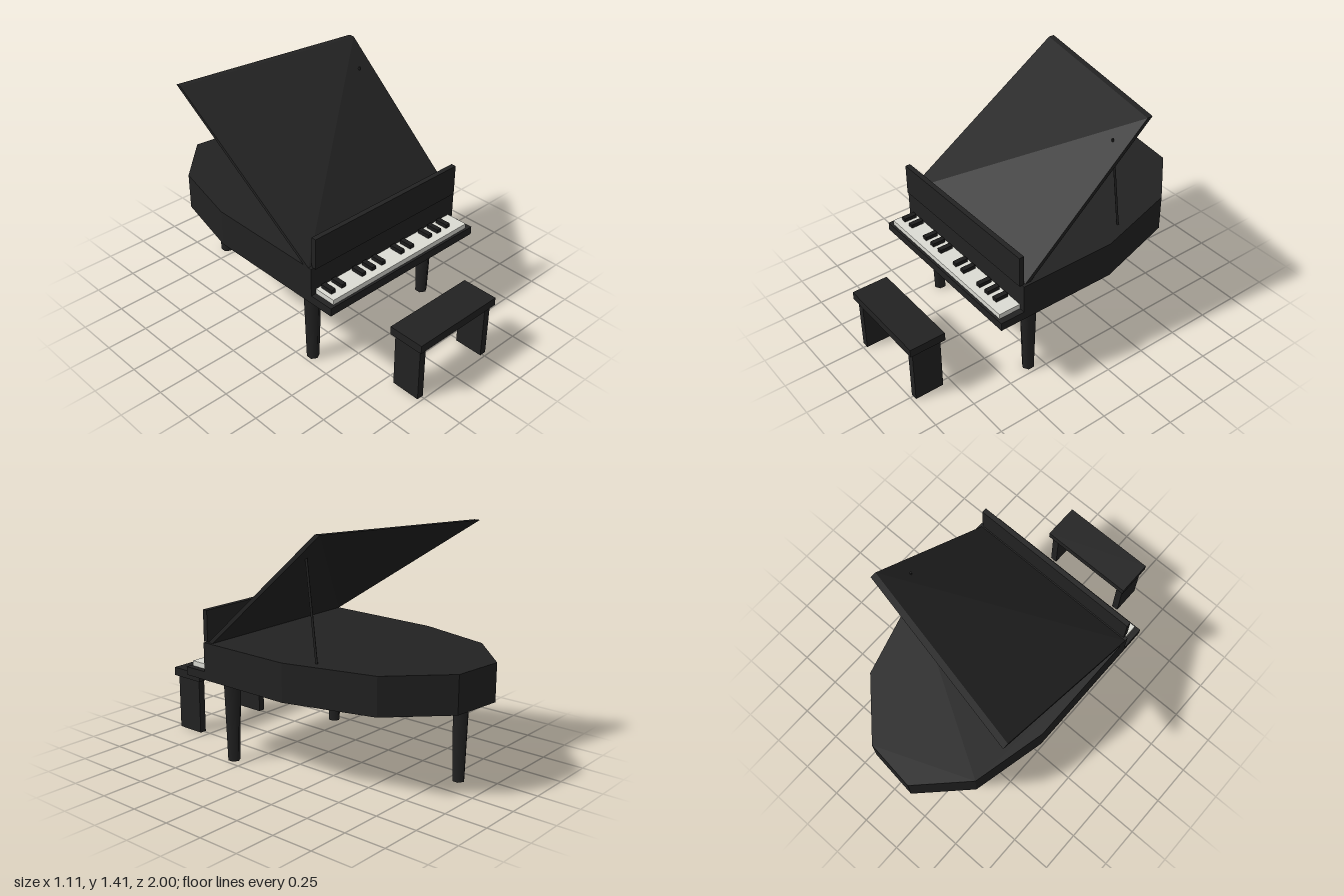
import * as THREE from 'three';

const black = new THREE.MeshStandardMaterial({ color: 0x222222 });
black.name = 'black lacquer';
const ebony = new THREE.MeshStandardMaterial({ color: 0x1c1c1c });
ebony.name = 'ebony key';
const ivory = new THREE.MeshStandardMaterial({ color: 0xdcdcd4 });
ivory.name = 'ivory key';

export function createModel() {
  const model = new THREE.Group();
  model.name = 'grandPianoWithBench';

  const add = (name, geometry, material) => {
    const mesh = new THREE.Mesh(geometry, material);
    mesh.name = name;
    model.add(mesh);
    return mesh;
  };
  // box given by its limits along each axis
  const box = (name, [x0, x1], [y0, y1], [z0, z1], material = black) =>
    add(name, new THREE.BoxGeometry(x1 - x0, y1 - y0, z1 - z0), material)
      .position.set((x0 + x1) / 2, (y0 + y1) / 2, (z0 + z1) / 2);

  // case: faceted outline (x, z) extruded upward
  const outline = [
    [-0.553, 0.446], [0.553, 0.446], [0.553, -0.15], [0.405, -0.67],
    [0.11, -0.965], [-0.19, -1.0], [-0.45, -0.74], [-0.553, -0.3],
  ];
  const shape = new THREE.Shape(outline.map(([x, z]) => new THREE.Vector2(x, -z)));
  const caseGeometry = new THREE.ExtrudeGeometry(shape, { depth: 0.22, bevelEnabled: false });
  caseGeometry.rotateX(-Math.PI / 2);
  add('case', caseGeometry, black).position.y = 0.486;

  // keyboard
  box('keyBed', [-0.553, 0.553], [0.486, 0.535], [0.446, 0.595]);
  box('whiteKeys', [-0.52, 0.517], [0.535, 0.565], [0.446, 0.58], ivory);
  for (const k of [0, 1, 3, 4, 5, 7, 8, 10, 11, 12]) {
    const x = -0.478 + 0.0743 * k;
    box('blackKey', [x - 0.015, x + 0.015], [0.565, 0.587], [0.458, 0.536], ebony);
  }

  // music desk
  box('musicDesk', [-0.535, 0.535], [0.706, 0.89], [0.432, 0.462]);

  // raised lid: a slightly twisted slab, front corners then back corners
  const front = [[-0.553, 0.706, 0.425], [0.537, 0.706, 0.425], [0.537, 1.41, -0.372], [-0.553, 1.373, -0.595]];
  const back = front.map(([x, y, z]) => [x, y, z - 0.035]);
  const faces = [0, 1, 2, 0, 2, 3, 4, 6, 5, 4, 7, 6];
  for (let i = 0; i < 4; i++) {
    const j = (i + 1) % 4;
    faces.push(i, i + 4, j, j, i + 4, j + 4);
  }
  const slab = new THREE.BufferGeometry();
  slab.setAttribute('position', new THREE.Float32BufferAttribute([...front, ...back].flat(), 3));
  slab.setIndex(faces);
  const lidGeometry = slab.toNonIndexed();
  lidGeometry.computeVertexNormals();
  add('lid', lidGeometry, black);

  // lid prop
  const foot = new THREE.Vector3(0.442, 0.7, -0.298);
  const tip = new THREE.Vector3(0.442, 1.295, -0.224);
  const span = tip.clone().sub(foot);
  const prop = add('lidProp', new THREE.CylinderGeometry(0.007, 0.007, span.length(), 6), black);
  prop.position.copy(foot).add(tip).multiplyScalar(0.5);
  prop.quaternion.setFromUnitVectors(new THREE.Vector3(0, 1, 0), span.normalize());

  // three tapered legs
  for (const [x, z] of [[-0.446, 0.336], [0.444, 0.336], [-0.15, -0.812]]) {
    add('leg', new THREE.CylinderGeometry(0.05, 0.036, 0.486, 6), black).position.set(x, 0.243, z);
  }

  // bench
  box('benchSeat', [-0.297, 0.295], [0.337, 0.387], [0.78, 1.0]);
  for (const x of [-0.26, 0.257]) {
    box('benchLeg', [x - 0.021, x + 0.021], [0, 0.337], [0.802, 0.98]);
  }

  return model;
}
